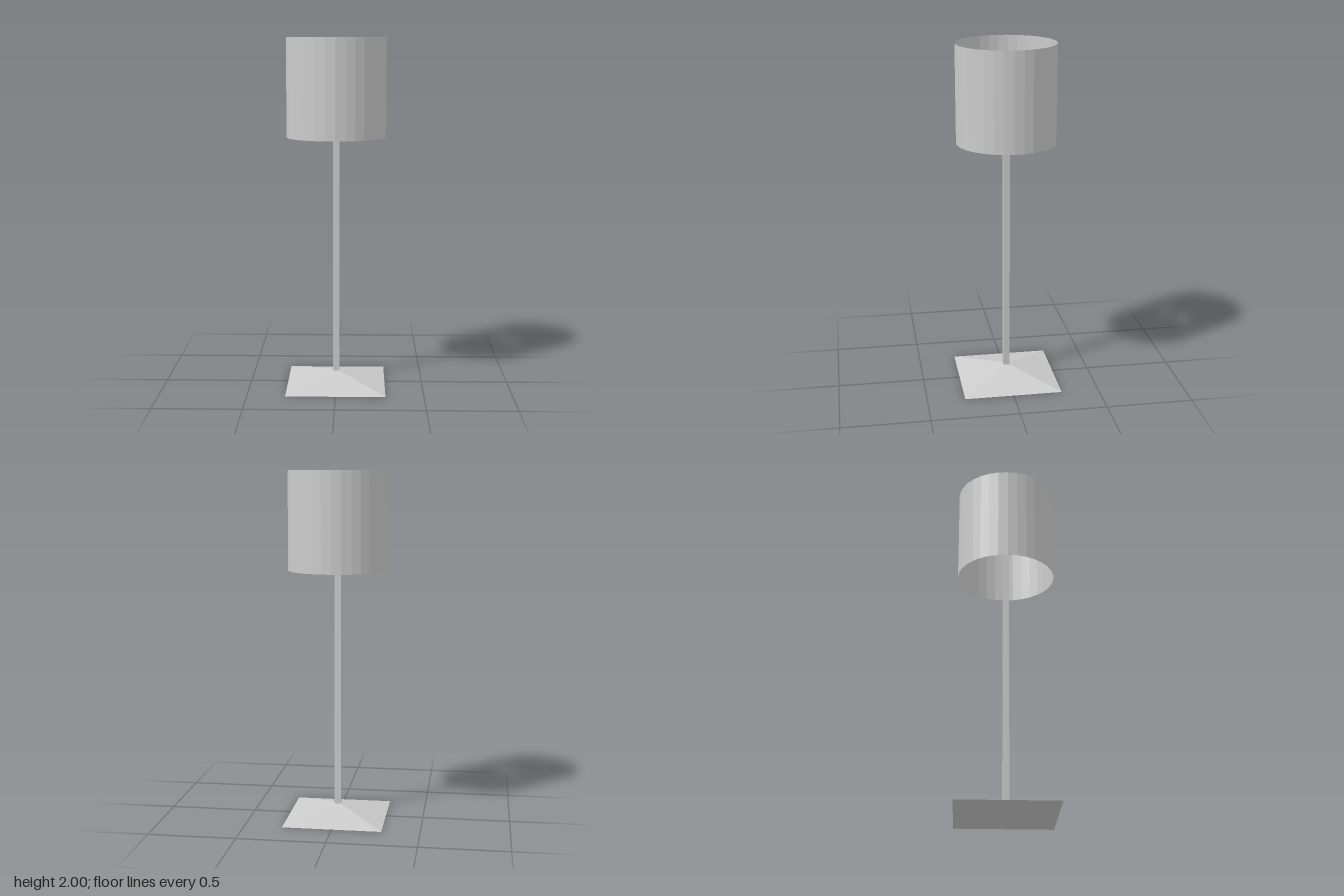
import * as THREE from 'three';

export function createModel() {
  const lamp = new THREE.Group();
  lamp.name = 'floorLamp';
  const grey = new THREE.MeshStandardMaterial({ color: 0xcccccc, flatShading: true });
  const greyThin = new THREE.MeshStandardMaterial({ color: 0xcccccc, flatShading: true, side: THREE.DoubleSide });
  const greySmooth = new THREE.MeshStandardMaterial({ color: 0xcccccc });

  const add = (name, geometry, y, material = grey) => {
    const mesh = new THREE.Mesh(geometry, material);
    mesh.name = name;
    mesh.position.y = y;
    lamp.add(mesh);
    return mesh;
  };
  const box = (name, w, y0, y1, d = w) => add(name, new THREE.BoxGeometry(w, y1 - y0, d), (y0 + y1) / 2);

  // Low square pyramid base, sides aligned with x and z
  const half = 0.283;
  const base = new THREE.CylinderGeometry(0.018 * Math.SQRT2, half * Math.SQRT2, 0.07, 4);
  add('base', base.rotateY(Math.PI / 4), 0.035);

  // Square pole
  box('pole', 0.037, 0.03, 1.64);

  // Open, paper-thin drum shade
  add('shade', new THREE.CylinderGeometry(half, half, 0.56, 32, 1, true), 1.72, greyThin);

  // Bar across the shade that carries it
  box('shadeBar', 0.024, 1.825, 1.85, 0.562);

  // Bulb in its socket, hidden inside the shade
  box('socketPlate', 0.072, 1.62, 1.65);
  add('socketCollar', new THREE.CylinderGeometry(0.034, 0.034, 0.04, 24), 1.67);
  add('bulb', new THREE.SphereGeometry(0.031, 24, 16), 1.715, greySmooth);

  // Tapered arms leaning from the socket plate up to the bar
  for (const side of [-1, 1]) {
    const arm = new THREE.CylinderGeometry(0.003, 0.009, 0.185, 4).rotateY(Math.PI / 4);
    const mesh = add(side > 0 ? 'leftArm' : 'rightArm', arm, 1.74);
    mesh.position.x = side * 0.02;
    mesh.rotation.z = side * 0.11;
  }
  return lamp;
}
